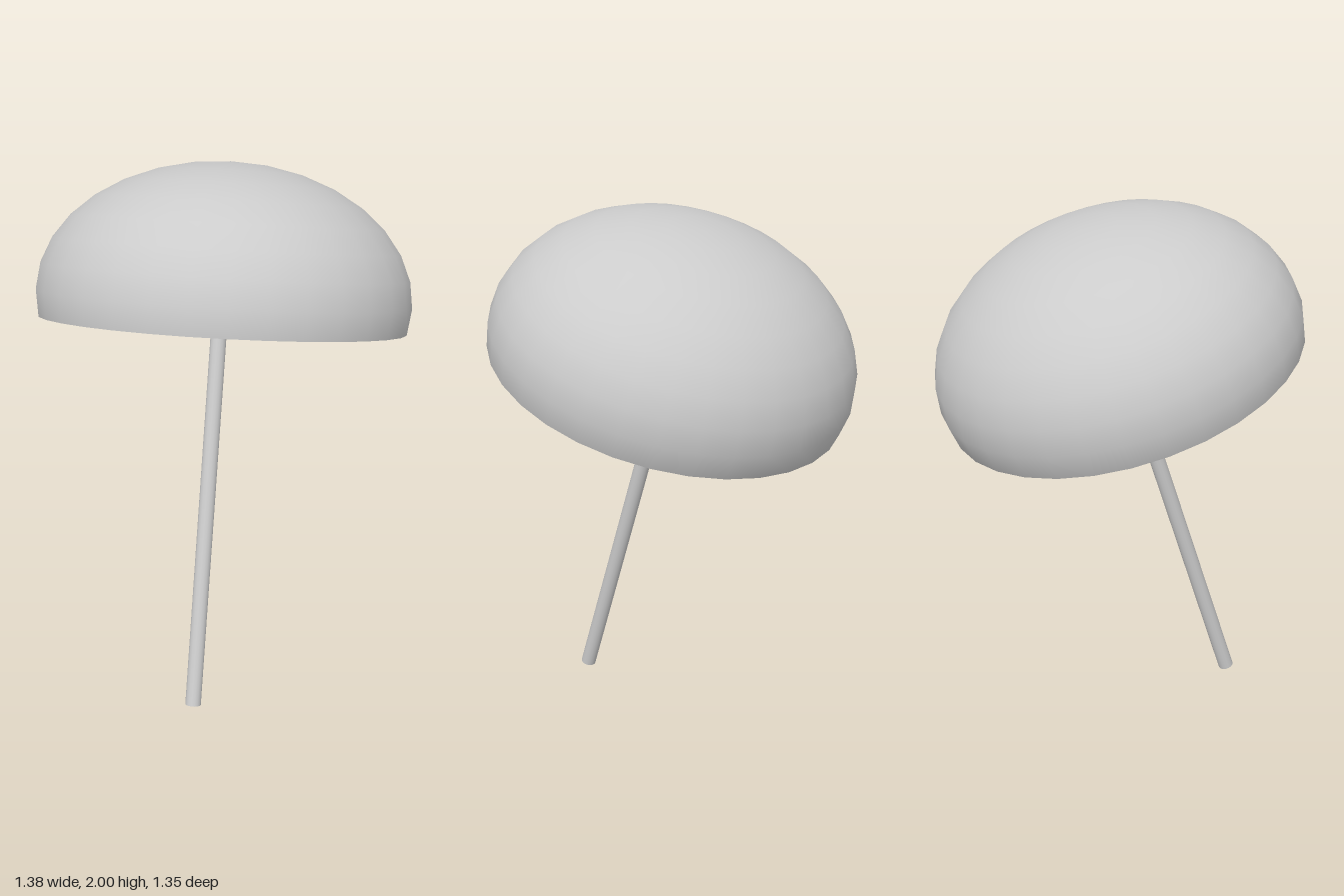
import * as THREE from 'three';

export function createModel() {
  const model = new THREE.Group();
  model.name = 'mushroomShape';
  const grey = new THREE.MeshStandardMaterial({ color: 0xcccccc });
  const thin = new THREE.MeshStandardMaterial({ color: 0xcccccc, side: THREE.DoubleSide });

  // open cap: flattened sphere cut one row below its equator, tipped back
  const capGeometry = new THREE.SphereGeometry(0.69, 32, 9, 0, Math.PI * 2, 0, Math.PI * 9 / 16);
  capGeometry.scale(1, 0.495 / 0.69, 1);
  const cap = new THREE.Mesh(capGeometry, thin);
  cap.name = 'cap';
  cap.position.set(0, 1.485, 0);
  cap.rotation.x = -0.3;
  model.add(cap);

  // thin stem running from the ground up to the inside of the cap
  const foot = new THREE.Vector3(-0.032, 0.01, 0.475);
  const head = new THREE.Vector3(-0.002, 1.94, -0.14);
  const axis = head.clone().sub(foot);
  const stem = new THREE.Mesh(new THREE.CylinderGeometry(0.03, 0.03, axis.length(), 16), grey);
  stem.name = 'stem';
  stem.position.copy(foot).add(head).multiplyScalar(0.5);
  stem.quaternion.setFromUnitVectors(new THREE.Vector3(0, 1, 0), axis.normalize());
  model.add(stem);

  return model;
}
